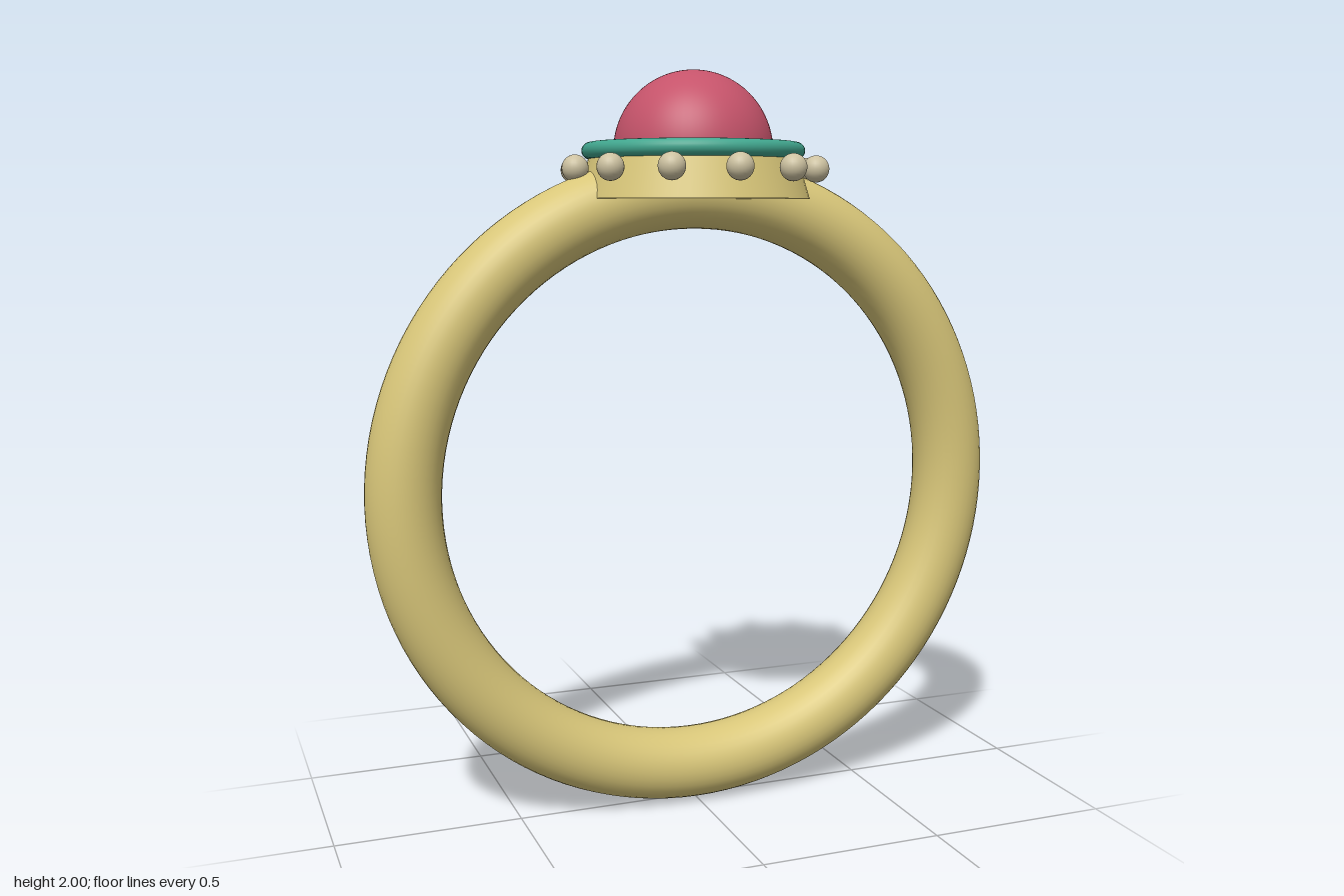
import * as THREE from 'three';

const material = (name, color) => {
  const m = new THREE.MeshStandardMaterial({ color });
  m.name = name;
  return m;
};

export function createModel() {
  const gold = material('gold', 0xd8c679);
  const ruby = material('rose gem', 0xc5536a);
  const teal = material('teal enamel', 0x41a68e);
  const pearl = material('pearl', 0xccc1a0);

  const ring = new THREE.Group();
  ring.name = 'ring';
  const add = (name, geometry, mat, x, y, z, parent = ring) => {
    const mesh = new THREE.Mesh(geometry, mat);
    mesh.name = name;
    mesh.position.set(x, y, z);
    parent.add(mesh);
    return mesh;
  };

  // Finger band, standing upright
  add('band', new THREE.TorusGeometry(0.793, 0.098, 32, 128), gold, 0, 0.892, 0);

  // Tapered setting with flat top and underside
  add('setting', new THREE.CylinderGeometry(0.272, 0.31, 0.125, 64), gold, 0, 1.7275, 0);

  // Enamel collar around the rim of the setting
  const collar = new THREE.TorusGeometry(0.274, 0.022, 20, 96).rotateX(Math.PI / 2);
  add('collar', collar, teal, 0, 1.79, 0);

  // Domed stone
  const dome = new THREE.SphereGeometry(0.212, 64, 32, 0, Math.PI * 2, 0, Math.PI / 2);
  add('gem', dome, ruby, 0, 1.788, 0);

  // Twelve beads around the setting
  const beads = new THREE.Group();
  beads.name = 'beads';
  ring.add(beads);
  const beadGeometry = new THREE.SphereGeometry(0.035, 24, 16);
  for (let i = 0; i < 12; i++) {
    const a = (i / 12) * Math.PI * 2;
    add('bead', beadGeometry, pearl, 0.326 * Math.cos(a), 1.742, 0.326 * Math.sin(a), beads);
  }

  return ring;
}
